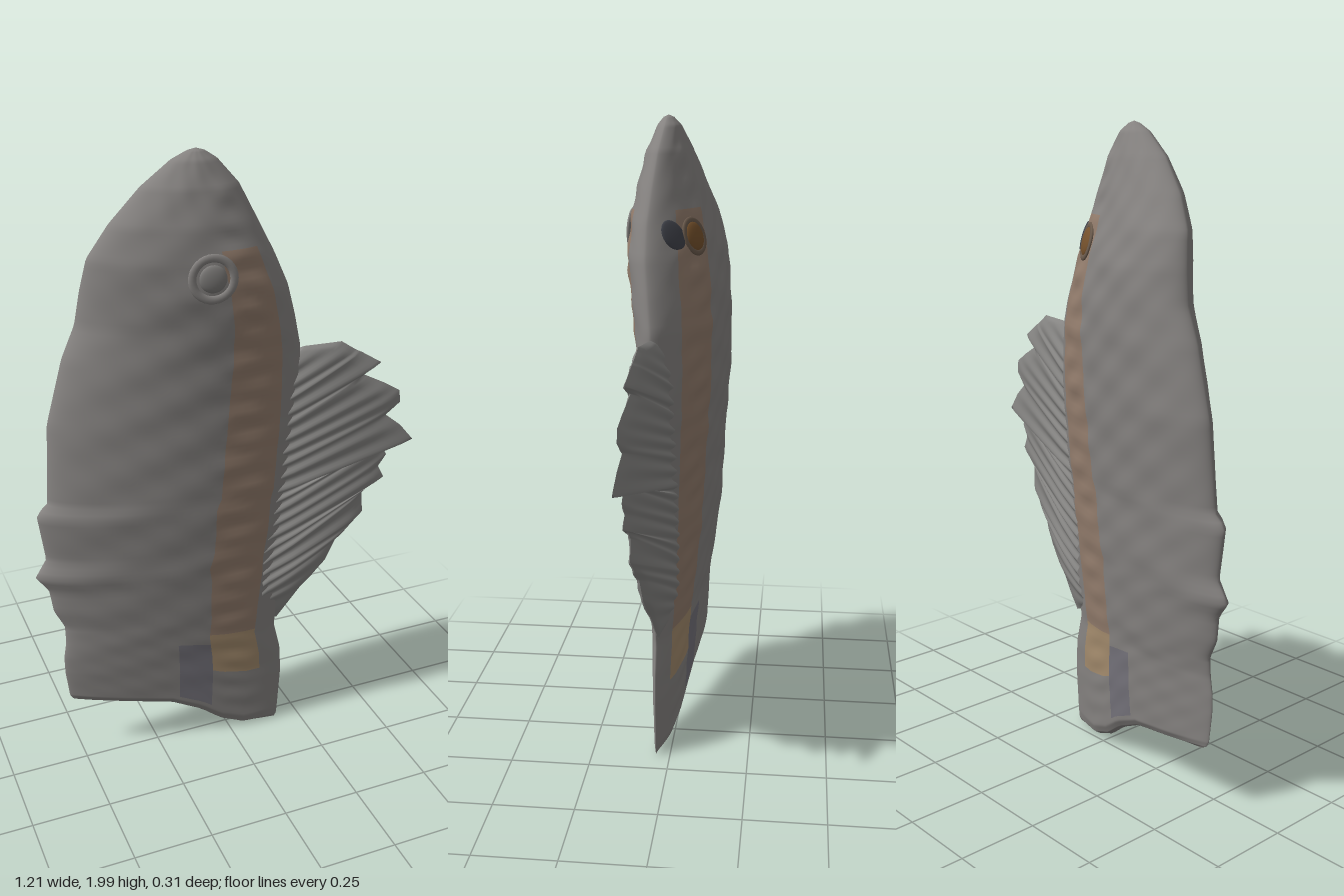
import * as THREE from 'three';

// Rows of [height, left x, right x, left z, right z, half thickness], tail to snout
const ROWS = [
  [0, -0.50, 0.165, -0.06, 0.045, 0], [0.012, -0.52, 0.172, -0.06, 0.045, 0.024],
  [0.04, -0.53, 0.175, -0.06, 0.045, 0.036], [0.2, -0.54, 0.185, -0.06, 0.045, 0.045],
  [0.3, -0.54, 0.18, -0.06, 0.045, 0.05], [0.4, -0.53, 0.157, -0.06, 0.045, 0.056],
  [0.5, -0.53, 0.165, -0.065, 0.045, 0.065], [0.56, -0.56, 0.175, -0.07, 0.045, 0.07],
  [0.64, -0.57, 0.185, -0.075, 0.045, 0.077], [0.69, -0.608, 0.19, -0.08, 0.045, 0.082],
  [0.75, -0.57, 0.195, -0.08, 0.045, 0.087], [0.83, -0.58, 0.205, -0.08, 0.045, 0.092],
  [0.91, -0.59, 0.21, -0.08, 0.045, 0.097], [0.94, -0.555, 0.215, -0.08, 0.045, 0.099],
  [1.2, -0.535, 0.23, -0.09, 0.045, 0.113], [1.4, -0.48, 0.22, -0.085, 0.05, 0.121],
  [1.5, -0.437, 0.195, -0.08, 0.06, 0.124], [1.6, -0.42, 0.165, -0.07, 0.07, 0.125],
  [1.7, -0.4, 0.12, -0.05, 0.07, 0.112], [1.8, -0.34, 0.07, -0.02, 0.06, 0.09],
  [1.9, -0.255, 0.02, 0.005, 0.048, 0.062], [1.97, -0.17, -0.04, 0.02, 0.035, 0.034],
  [1.993, -0.125, -0.075, 0.026, 0.032, 0.015], [2, -0.1, -0.1, 0.03, 0.03, 0]];

// Lift of the slanted tail edge: [x, height]
const TAIL = [[-0.7, 0.23], [-0.5, 0.205], [-0.2, 0.15], [-0.1, 0.1], [-0.03, 0.045], [0.05, 0.012], [0.3, 0.015]];

function sample(table, key) {
  let i = 0;
  while (i < table.length - 2 && table[i + 1][0] < key) i++;
  const a = table[i], b = table[i + 1];
  const t = THREE.MathUtils.clamp((key - a[0]) / (b[0] - a[0]), 0, 1);
  return a.map((v, k) => v + (b[k] - v) * t);
}

// Point on the body: s runs left to right, side is +1 front or -1 back
function bodyPoint(s, h, side) {
  const [, xl, xr, zl, zr, half] = sample(ROWS, h);
  const x = xl + (xr - xl) * s;
  const lens = Math.pow(Math.max(0, 4 * s * (1 - s)), 0.62);
  const belly = Math.exp(-(((s - 0.77) / 0.1) ** 2));
  const ripple = 0.025 * Math.sin(h * 47 + s * 9) * Math.sin(s * 23 + h * 8)
    + 0.035 * belly * Math.sin(h * 75 + s * 6);
  const lift = sample(TAIL, x)[1] * Math.max(0, 1 - h / 0.5);
  return new THREE.Vector3(x, h + lift, zl + (zr - zl) * s + side * half * lens * (1 + ripple));
}

function material(color, side = THREE.FrontSide) {
  return new THREE.MeshStandardMaterial({ color, side });
}

// Body skin, split into plain, belly stripe and tail patch, sharing normals
function makeBody(group) {
  const N = 50, M = 160, ring = 2 * N, pos = [];
  const heights = [];
  for (let i = 0; i <= M; i++) heights.push(1 - Math.cos(Math.PI * i / M));
  const sOf = j => (1 - Math.cos(Math.PI * j / N)) / 2;
  for (const h of heights) {
    for (let j = 0; j < ring; j++) pos.push(...bodyPoint(sOf(j), h, j <= N ? 1 : -1).toArray());
  }
  const parts = { body: [], bellyStripe: [], paleTailStripe: [], tailPatch: [] };
  for (let i = 0; i < M; i++) {
    const h = (heights[i] + heights[i + 1]) / 2;
    for (let j = 0; j < ring; j++) {
      const s = sOf(j + 0.5), k = (j + 1) % ring;
      let name = 'body';
      if (s > 0.665 && s < 0.89 && h > 0.24 && h < 1.74) name = h < 0.42 ? 'paleTailStripe' : 'bellyStripe';
      else if (s > 0.5 && s < 0.64 && h > 0.06 && h < 0.36) name = 'tailPatch';
      const a = i * ring + j, b = i * ring + k, c = a + ring, d = b + ring;
      parts[name].push(a, b, d, a, d, c);
    }
  }
  const whole = new THREE.BufferGeometry();
  whole.setAttribute('position', new THREE.Float32BufferAttribute(pos, 3));
  whole.setIndex(Object.values(parts).flat());
  whole.computeVertexNormals();
  const colors = { body: 0x858280, bellyStripe: 0x927c6c, paleTailStripe: 0xa28a6c, tailPatch: 0x74727a };
  for (const [name, index] of Object.entries(parts)) {
    const geo = new THREE.BufferGeometry();
    geo.setAttribute('position', whole.getAttribute('position'));
    geo.setAttribute('normal', whole.getAttribute('normal'));
    geo.setIndex(index);
    const mesh = new THREE.Mesh(geo, material(colors[name]));
    mesh.name = name;
    group.add(mesh);
  }
}

// Ragged fin: rays spread from the root to a torn outer edge, thinning outwards
function makeFin() {
  const edge = [[0.17, 0.42], [0.25, 0.53], [0.33, 0.62], [0.365, 0.7], [0.41, 0.745], [0.45, 0.79],
    [0.445, 0.86], [0.47, 0.89], [0.515, 0.91], [0.495, 0.95], [0.52, 0.99], [0.5, 1.03], [0.54, 1.055],
    [0.605, 1.035], [0.56, 1.09], [0.51, 1.13], [0.555, 1.17], [0.55, 1.21], [0.5, 1.24], [0.43, 1.275],
    [0.485, 1.31], [0.42, 1.35], [0.4, 1.36], [0.355, 1.39], [0.24, 1.385], [0.21, 1.36]];
  const U = 14, V = (edge.length - 1) * 6, pos = [], index = [];
  for (const side of [1, -1]) {
    const base = pos.length / 3;
    for (let v = 0; v <= V; v++) {
      const t = v / V * (edge.length - 1), i = Math.min(Math.floor(t), edge.length - 2), f = t - i;
      const ex = edge[i][0] + (edge[i + 1][0] - edge[i][0]) * f;
      const ey = edge[i][1] + (edge[i + 1][1] - edge[i][1]) * f;
      const ry = 0.45 + 0.88 * v / V;
      const ends = Math.min(1, Math.sqrt(Math.sin(Math.PI * v / V) * 2.5));
      for (let u = 0; u <= U; u++) {
        const p = u / U, x = 0.1 + (ex - 0.1) * p;
        const mid = 0.04 + 0.065 * THREE.MathUtils.clamp((x - 0.2) / 0.4, -0.2, 1);
        const thick = (0.046 - 0.07 * Math.max(0, x - 0.2)) * Math.sqrt(1 - p * p) * ends;
        const rays = 1 + 0.12 * Math.sin(v * 0.9);
        pos.push(x, ry + (ey - ry) * p, mid + side * thick * rays);
      }
    }
    for (let v = 0; v < V; v++) {
      for (let u = 0; u < U; u++) {
        const a = base + v * (U + 1) + u, b = a + 1, c = a + U + 1, d = c + 1;
        if (side > 0) index.push(a, b, d, a, d, c);
        else index.push(a, d, b, a, c, d);
      }
    }
  }
  const geo = new THREE.BufferGeometry();
  geo.setAttribute('position', new THREE.Float32BufferAttribute(pos, 3));
  geo.setIndex(index);
  geo.computeVertexNormals();
  const fin = new THREE.Mesh(geo, material(0x858482, THREE.DoubleSide));
  fin.name = 'raggedFin';
  return fin;
}

// Places a flattened part on the body skin, facing outwards
function place(group, name, geo, color, s, h, side, scale) {
  const mesh = new THREE.Mesh(geo, material(color));
  const p = bodyPoint(s, h, side);
  const across = bodyPoint(s + 0.04, h, side).sub(bodyPoint(s - 0.04, h, side));
  const up = bodyPoint(s, h + 0.04, side).sub(bodyPoint(s, h - 0.04, side));
  const normal = across.cross(up).multiplyScalar(side).normalize();
  mesh.name = name;
  mesh.position.copy(p);
  mesh.quaternion.setFromUnitVectors(new THREE.Vector3(0, 0, 1), normal);
  mesh.scale.set(...scale);
  group.add(mesh);
}

export function createModel() {
  const group = new THREE.Group();
  group.name = 'fish';
  makeBody(group);
  group.add(makeFin());

  // Eyes
  const ball = new THREE.SphereGeometry(1, 24, 16);
  const ring = new THREE.TorusGeometry(1, 0.2, 10, 32);
  place(group, 'frontEyeRing', ring, 0x858280, 0.58, 1.66, 1, [0.06, 0.06, 0.03]);
  place(group, 'frontEye', ball, 0x7c7a78, 0.58, 1.66, 1, [0.04, 0.04, 0.012]);
  place(group, 'backEyeRing', ring, 0x6a5a4c, 0.76, 1.655, -1, [0.05, 0.046, 0.025]);
  place(group, 'backEye', ball, 0x75512c, 0.76, 1.655, -1, [0.046, 0.042, 0.012]);
  place(group, 'darkCheek', ball, 0x40424a, 0.9, 1.665, -1, [0.05, 0.04, 0.008]);
  return group;
}
